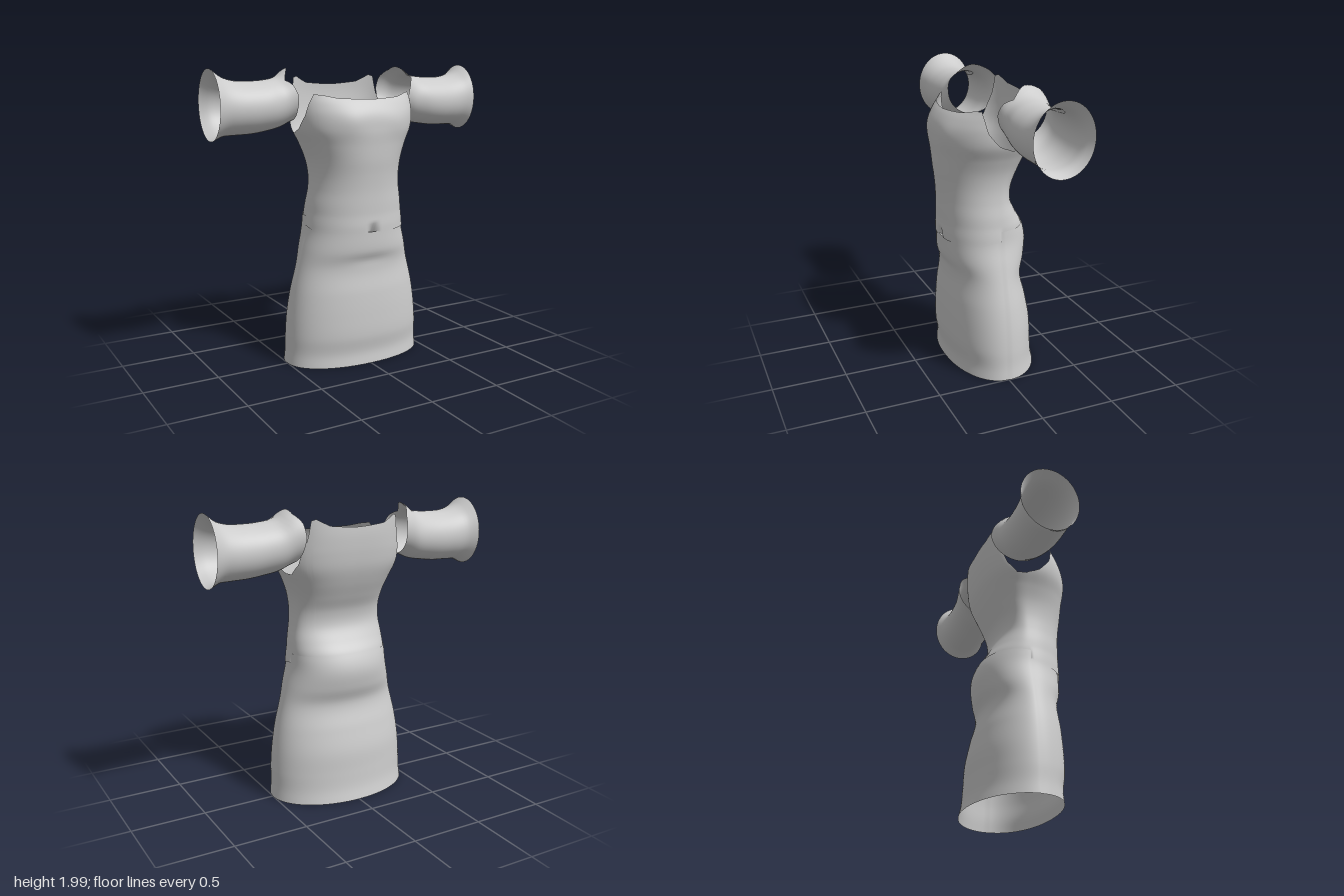
import * as THREE from 'three';

const TAU = Math.PI * 2;

// Smooth interpolation through rows of [key, a, b, ...]
function table(rows) {
  const n = rows[0].length - 1;
  const curve = new THREE.CubicInterpolant(rows.map(r => r[0]), rows.flatMap(r => r.slice(1)), n, new Array(n));
  const lo = rows[0][0], hi = rows[rows.length - 1][0];
  return k => Array.from(curve.evaluate(Math.min(hi, Math.max(lo, k))));
}

// Straight interpolation through [key, value] pairs
function linear(rows) {
  return k => {
    let i = 1;
    while (i < rows.length - 1 && rows[i][0] < k) i++;
    const [k0, v0] = rows[i - 1], [k1, v1] = rows[i];
    return THREE.MathUtils.lerp(v0, v1, THREE.MathUtils.clamp((k - k0) / (k1 - k0), 0, 1));
  };
}

// Open tube of cloth: fn(angle, v) gives each point, the ring is closed
function clothTube(name, segs, rows, fn, material) {
  const pos = [], index = [];
  for (let j = 0; j <= rows; j++)
    for (let i = 0; i < segs; i++) pos.push(...fn((i / segs) * TAU, j / rows));
  for (let j = 0; j < rows; j++)
    for (let i = 0; i < segs; i++) {
      const a = j * segs + i, b = j * segs + (i + 1) % segs;
      index.push(a, a + segs, b, b, a + segs, b + segs);
    }
  const geo = new THREE.BufferGeometry();
  geo.setAttribute('position', new THREE.Float32BufferAttribute(pos, 3));
  geo.setIndex(index);
  geo.computeVertexNormals();
  const mesh = new THREE.Mesh(geo, material);
  mesh.name = name;
  return mesh;
}

// Body profile: height, half width, front depth, back depth
const body = table([
  [0, 0.5, 0.275, 0.33], [0.08, 0.493, 0.268, 0.312], [0.2, 0.49, 0.285, 0.303],
  [0.35, 0.477, 0.285, 0.295], [0.5, 0.453, 0.277, 0.265], [0.68, 0.41, 0.26, 0.226],
  [0.79, 0.383, 0.286, 0.26], [0.92, 0.35, 0.293, 0.276], [1.02, 0.342, 0.296, 0.245],
  [1.1, 0.335, 0.298, 0.195], [1.2, 0.32, 0.3, 0.147], [1.3, 0.316, 0.308, 0.152],
  [1.4, 0.33, 0.32, 0.195], [1.5, 0.365, 0.327, 0.24], [1.6, 0.41, 0.333, 0.275],
  [1.7, 0.422, 0.322, 0.292], [1.77, 0.42, 0.285, 0.298], [1.83, 0.42, 0.235, 0.3], [1.94, 0.43, 0.2, 0.295],
]);

function bodyPoint(t, y, frontEase, backEase) {
  const [w, f, b] = body(y);
  const c = Math.cos(t), s = Math.sin(t), front = s >= 0;
  const n = front ? 2.15 : 2.05 + 0.75 * THREE.MathUtils.smoothstep(y, 0.6, 1.8);
  const ease = front ? frontEase : backEase;
  const x = (w + ease * Math.abs(c)) * Math.sign(c) * Math.abs(c) ** (2 / n);
  const z = ((front ? f : b) + ease) * Math.sign(s) * Math.abs(s) ** (2 / n);
  return [x, y, z];
}

// Degrees from the side, folded so left and right match: +90 front, -90 back
const sideAngle = t => THREE.MathUtils.radToDeg(Math.asin(Math.max(-1, Math.min(1, Math.sin(t)))));

// Upper edge of the bodice: back neckline, armhole, front neckline
const bodiceTop = linear([
  [-90, 1.87], [-70, 1.885], [-56, 1.93], [-50, 1.92], [-44, 1.8], [-32, 1.64], [-18, 1.57],
  [-6, 1.57], [6, 1.61], [18, 1.69], [25, 1.77], [34, 1.828], [45, 1.822], [60, 1.803], [90, 1.793],
]);
const skirtTop = linear([[-90, 1.025], [0, 1.015], [25, 0.93], [90, 0.925]]);
const bodiceBottom = linear([[-90, 0.97], [0, 0.95], [25, 0.92], [90, 0.92]]);

function skirtPoint(t, v) {
  const p = bodyPoint(t, v * skirtTop(sideAngle(t)), 0, 0.004);
  // belly fold fades toward the hips
  if (p[2] > 0) p[2] -= 0.008 * Math.exp(-((p[0] / 0.17) ** 2) - ((p[1] - 0.73) / 0.035) ** 2);
  return p;
}

function bodicePoint(t, v) {
  const a = sideAngle(t), lo = bodiceBottom(a);
  const y = THREE.MathUtils.lerp(lo, bodiceTop(a), v);
  const low = 1 - THREE.MathUtils.smoothstep(y, 0.95, 1.05);
  const p = bodyPoint(t, y, 0.006 * low, -0.006 * low);
  if (p[2] > 0) {
    // bust fullness and the small tuck at the centre of the hem
    p[2] += 0.008 * Math.exp(-(((Math.abs(p[0]) - 0.17) / 0.09) ** 2) - ((y - 1.65) / 0.08) ** 2);
    const depth = THREE.MathUtils.clamp((0.99 - y) / 0.07, 0, 1);
    p[2] -= 0.04 * depth * Math.max(0, 1 - Math.abs(p[0]) / 0.05);
  }
  return p;
}

// Sleeve profile: x, top, bottom, front z, back z
const sleeve = table([
  [0.36, 2.0, 1.66, 0.07, -0.3], [0.43, 1.985, 1.635, 0.062, -0.288], [0.5, 1.935, 1.605, 0.06, -0.28],
  [0.6, 1.915, 1.585, 0.075, -0.275], [0.7, 1.91, 1.572, 0.079, -0.275], [0.82, 1.917, 1.568, 0.078, -0.278],
  [0.9, 1.945, 1.562, 0.08, -0.285], [0.96, 1.992, 1.533, 0.09, -0.312],
]);
// Inner sleeve edge by angle: 0 front, 90 top, 180 back, 270 underarm
const sleeveInner = linear([
  [0, 0.42], [30, 0.45], [55, 0.485], [75, 0.45], [90, 0.425], [120, 0.42], [150, 0.38],
  [180, 0.37], [225, 0.385], [270, 0.4], [320, 0.415], [360, 0.42],
]);

const sleevePoint = side => (a, v) => {
  const x = THREE.MathUtils.lerp(sleeveInner(THREE.MathUtils.radToDeg(a)), 0.962, v);
  const [top, bottom, front, back] = sleeve(x);
  return [
    side * x,
    (top + bottom) / 2 + Math.sin(a) * (top - bottom) / 2,
    (front + back) / 2 + Math.cos(a) * (front - back) / 2,
  ];
};

export function createModel() {
  const cloth = new THREE.MeshStandardMaterial({ color: 0xcccccc });
  cloth.name = 'grey cloth';
  cloth.side = THREE.DoubleSide;

  const dress = new THREE.Group();
  dress.name = 'dress';
  dress.add(
    clothTube('skirt', 120, 48, skirtPoint, cloth),
    clothTube('bodice', 180, 60, bodicePoint, cloth),
    clothTube('leftSleeve', 60, 24, sleevePoint(1), cloth),
    clothTube('rightSleeve', 60, 24, sleevePoint(-1), cloth),
  );
  return dress;
}
